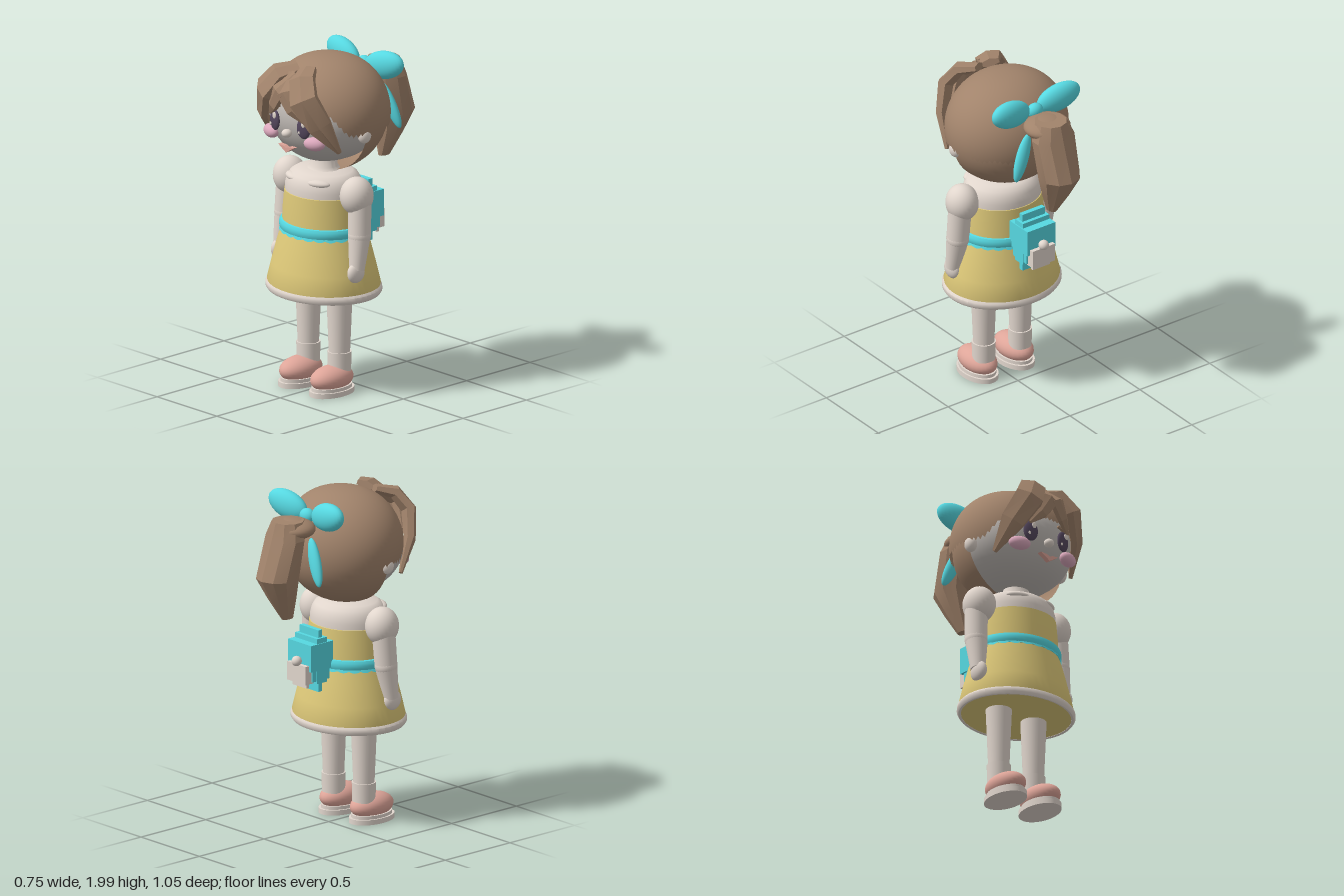
import * as THREE from 'three';
import { toCreasedNormals } from 'three/addons/utils/BufferGeometryUtils.js';

const mat = (name, color) => Object.assign(new THREE.MeshStandardMaterial({ color }), { name });

export function createModel() {
  const skin = mat('skin', 0xe1d6cd), face = mat('face grey', 0xbeb8b3), hair = mat('hair brown', 0xa1836b);
  const teal = mat('ribbon teal', 0x56d8e1), yellow = mat('dress yellow', 0xdec979), coral = mat('coral', 0xdea599);
  const pink = mat('blush pink', 0xdca9bd), dark = mat('eye violet', 0x54475d);
  hair.side = teal.side = THREE.DoubleSide;
  const root = new THREE.Group();
  root.name = 'doll';

  const add = (name, geo, m, x = 0, y = 0, z = 0) => {
    const mesh = new THREE.Mesh(geo, m);
    mesh.name = name;
    mesh.position.set(x, y, z);
    root.add(mesh);
    return mesh;
  };
  const ball = (name, m, p, r) =>
    add(name, new THREE.SphereGeometry(1, 28, 20).scale(...r), m, ...p);
  const box = (name, m, p, s) => add(name, new THREE.BoxGeometry(...s), m, ...p);
  // Turned part with an oval plan, centred on the body axis
  const BZ = 0.155;
  const turned = (name, m, pts, zScale) => {
    const g = new THREE.LatheGeometry(pts.map(p => new THREE.Vector2(...p)), 48);
    return add(name, toCreasedNormals(g.scale(1, 1, zScale), 0.7), m, 0, 0, BZ);
  };
  // Tapered round limb between two points
  const limb = (name, m, a, b, ra, rb) => {
    const A = new THREE.Vector3(...a), B = new THREE.Vector3(...b), d = B.clone().sub(A);
    const mesh = add(name, new THREE.CylinderGeometry(rb, ra, d.length(), 24), m);
    mesh.position.copy(A).add(B).multiplyScalar(0.5);
    mesh.quaternion.setFromUnitVectors(new THREE.Vector3(0, 1, 0), d.normalize());
  };
  // Faceted lock of hair: rings [x, y, z, half width, half depth] facing away from the head
  const lock = (name, rings, sides = 6, axis = null) => {
    const P = rings.map(r => new THREE.Vector3(r[0], r[1], r[2])), n = P.length, pos = [], idx = [];
    const centre = new THREE.Vector3(0, 1.7, 0.11);
    P.forEach((p, i) => {
      const t = axis || P[Math.min(i + 1, n - 1)].clone().sub(P[Math.max(i - 1, 0)]).normalize();
      const o = p.clone().sub(centre);
      o.addScaledVector(t, -o.dot(t)).normalize();
      const s = t.clone().cross(o);
      for (let j = 0; j < sides; j++) {
        const a = j / sides * Math.PI * 2;
        const v = p.clone().addScaledVector(o, Math.cos(a) * rings[i][4]).addScaledVector(s, Math.sin(a) * rings[i][3]);
        pos.push(v.x, v.y, v.z);
        if (i < n - 1) {
          const k = i * sides + j, l = i * sides + (j + 1) % sides;
          idx.push(k, l, l + sides, k, l + sides, k + sides);
        }
      }
    });
    for (let j = 1; j < sides - 1; j++) {
      const e = (n - 1) * sides;
      idx.push(0, j + 1, j, e, e + j, e + j + 1);
    }
    const g = new THREE.BufferGeometry();
    g.setAttribute('position', new THREE.Float32BufferAttribute(pos, 3));
    g.setIndex(idx);
    add(name, toCreasedNormals(g, 0.35), hair);
  };

  // Head with a slightly flattened face and a shallower back
  const headGeo = new THREE.SphereGeometry(1, 40, 28), hp = headGeo.attributes.position;
  for (let i = 0; i < hp.count; i++) {
    const z = hp.getZ(i);
    hp.setZ(i, z > 0 ? z ** 0.72 : z * 0.85);
  }
  add('head', headGeo.scale(0.335, 0.28, 0.325), face, 0, 1.65, 0.11);
  ball('nose', skin, [0, 1.585, 0.448], [0.03, 0.025, 0.03]);
  const lips = new THREE.Shape([[-0.065, 0.015], [0, -0.025], [0.065, 0.015], [0.02, 0.012], [0, 0.002], [-0.02, 0.012]]
    .map(p => new THREE.Vector2(...p)));
  add('mouth', new THREE.ExtrudeGeometry(lips, { depth: 0.03, bevelEnabled: false }), coral, 0, 1.495, 0.425);

  // Hair cap with a full crown: hairline rises over the face and is scalloped behind
  const capGeo = new THREE.SphereGeometry(1, 72, 28), cp = capGeo.attributes.position, uv = capGeo.attributes.uv;
  for (let i = 0; i < cp.count; i++) {
    const phi = uv.getX(i) * Math.PI * 2, front = Math.sin(phi);
    const edge = 1.78 - 0.46 * THREE.MathUtils.smoothstep(front, 0.4, 0.85) + (front < 0 ? 0.02 * Math.sin(phi * 14) : 0);
    const th = (1 - uv.getY(i)) * edge, r = Math.sin(th) ** 0.85;
    cp.setXYZ(i, -Math.cos(phi) * r, Math.cos(th), Math.sin(phi) * r);
    capGeo.attributes.normal.setXYZ(i, -Math.cos(phi) * Math.sin(th), Math.cos(th), Math.sin(phi) * Math.sin(th));
  }
  add('hairCap', capGeo.scale(0.37, 0.335, 0.335), hair, 0, 1.655, 0.11);
  add('backHair', new THREE.SphereGeometry(1, 32, 24, Math.PI, Math.PI).scale(0.353, 0.325, 0.368), hair, 0, 1.635, 0.145);

  // Ponytail
  lock('ponytail', [[0, 1.88, -0.315, 0.095, 0.095], [0, 1.78, -0.338, 0.135, 0.103], [0, 1.55, -0.395, 0.125, 0.125],
    [0, 1.42, -0.36, 0.08, 0.085], [0, 1.29, -0.32, 0.025, 0.04]], 10, new THREE.Vector3(0, -1, 0));
  ball('ponytailRoot', hair, [0, 1.825, -0.28], [0.14, 0.06, 0.13]);
  ball('bowKnot', teal, [0, 1.875, -0.165], [0.05, 0.045, 0.04]);

  for (const s of [-1, 1]) {
    const side = s > 0 ? 'left' : 'right';
    // Fringe
    lock(side + 'FringeLock', [[s * 0.04, 1.95, 0.32, 0.06, 0.025], [s * 0.1, 1.92, 0.42, 0.085, 0.04],
      [s * 0.165, 1.82, 0.47, 0.095, 0.045], [s * 0.24, 1.67, 0.41, 0.08, 0.035], [s * 0.285, 1.5, 0.3, 0.015, 0.012]]);
    lock(side + 'CentreLock', [[-s * 0.02, 1.93, 0.39, 0.04, 0.02], [s * 0.03, 1.84, 0.485, 0.065, 0.028],
      [s * 0.085, 1.75, 0.475, 0.05, 0.025], [s * 0.14, 1.68, 0.445, 0.012, 0.01]]);

    // Face details
    ball(side + 'Eye', dark, [s * 0.12, 1.635, 0.428], [0.046, 0.062, 0.018]).rotation.y = s * 0.22;
    ball(side + 'EyeGlint', skin, [s * 0.12 + 0.012, 1.667, 0.445], [0.015, 0.021, 0.006]);
    ball(side + 'EyeSpark', skin, [s * 0.12 - 0.02, 1.612, 0.444], [0.008, 0.011, 0.005]);
    box(side + 'Brow', hair, [s * 0.12, 1.715, 0.422], [0.07, 0.012, 0.02]).rotation.z = -s * 0.25;
    ball(side + 'Cheek', pink, [s * 0.18, 1.55, 0.4], [0.066, 0.04, 0.04]).rotation.y = s * 0.35;
    ball(side + 'Ear', skin, [s * 0.335, 1.585, 0.15], [0.035, 0.048, 0.042]);

    // Bow
    ball(side + 'BowLoop', teal, [s * 0.17, 1.903, -0.16], [0.143, 0.083, 0.058]).rotation.set(0, s * 0.12, s * 0.22);
    ball(side + 'BowTail', teal, [s * 0.145, 1.64, -0.235], [0.042, 0.145, 0.028]).rotation.set(0.15, 0, s * 0.42);

    // Arms
    ball(side + 'Shoulder', skin, [s * 0.28, 1.21, 0.16], [0.096, 0.112, 0.1]);
    limb(side + 'UpperArm', skin, [s * 0.3, 1.17, 0.155], [s * 0.308, 0.98, 0.165], 0.068, 0.066);
    limb(side + 'Forearm', skin, [s * 0.308, 0.98, 0.165], [s * 0.318, 0.78, 0.195], 0.066, 0.045);
    ball(side + 'Elbow', skin, [s * 0.308, 0.98, 0.165], [0.067, 0.067, 0.067]);
    ball(side + 'Hand', skin, [s * 0.32, 0.765, 0.203], [0.036, 0.062, 0.06]);
    ball(side + 'Collarbone', skin, [s * 0.105, 1.272, 0.296], [0.075, 0.024, 0.04]).rotation.y = s * 0.4;

    // Legs and shoes
    limb(side + 'Leg', skin, [s * 0.13, 0.2, 0.155], [s * 0.13, 0.64, 0.155], 0.06, 0.078);
    limb(side + 'Sock', skin, [s * 0.13, 0.08, 0.155], [s * 0.13, 0.24, 0.155], 0.066, 0.07);
    ball(side + 'Shoe', coral, [s * 0.13, 0.09, 0.215], [0.094, 0.075, 0.147]);
    for (const [y, r] of [[0.015, 0.1], [0.035, 0.09]])
      add(side + 'Sole', new THREE.CylinderGeometry(r, r, 0.03, 32).scale(1, 1, 1.52), skin, s * 0.13, y, 0.215);
  }

  // Body and dress
  turned('chest', skin, [[0.235, 1.17], [0.236, 1.22], [0.225, 1.26], [0.207, 1.29], [0.175, 1.31], [0.1, 1.318],
    [0.085, 1.335], [0.075, 1.42]], 0.9);
  turned('bodice', yellow, [[0.255, 0.96], [0.25, 1.08], [0.24, 1.185], [0.22, 1.19]], 0.9);
  turned('skirt', yellow, [[0, 0.59], [0.337, 0.59], [0.35, 0.64], [0.325, 0.74], [0.29, 0.87], [0.255, 0.98]], 0.875);
  turned('hemTrim', skin, [[0.335, 0.588], [0.35, 0.585], [0.361, 0.6], [0.36, 0.622], [0.348, 0.635], [0.335, 0.63], [0.335, 0.588]], 0.865);
  turned('belt', teal, [[0.245, 0.945], [0.265, 0.95], [0.272, 0.965], [0.274, 0.98], [0.272, 0.995], [0.265, 1.008], [0.245, 1.013]], 0.89);
  // Scalloped frill under the belt
  const frill = new THREE.CylinderGeometry(0.265, 0.273, 0.02, 96, 1, true), fp = frill.attributes.position;
  for (let i = 0; i < fp.count; i++)
    if (fp.getY(i) < 0) fp.setY(i, -0.004 - 0.01 * Math.abs(Math.sin(Math.atan2(fp.getX(i), fp.getZ(i)) * 12)));
  add('beltFrill', frill.scale(1, 1, 0.89), teal, 0, 0.952, BZ);

  // Stepped backpack with a pocket and button
  for (const [w, y, h, z, d] of [[0.16, 1.015, 0.37, -0.137, 0.03], [0.19, 1.02, 0.27, -0.137, 0.075],
    [0.2, 1.045, 0.16, -0.14, 0.17], [0.18, 1.01, 0.22, -0.14, 0.13]])
    box('backpack', teal, [0, y, z], [w, h, d]);
  box('pocket', skin, [0, 0.945, -0.22], [0.16, 0.11, 0.06]);
  box('pocketBase', skin, [0, 0.89, -0.215], [0.12, 0.06, 0.02]);
  ball('button', skin, [0, 1.018, -0.247], [0.03, 0.03, 0.03]);

  return root;
}
